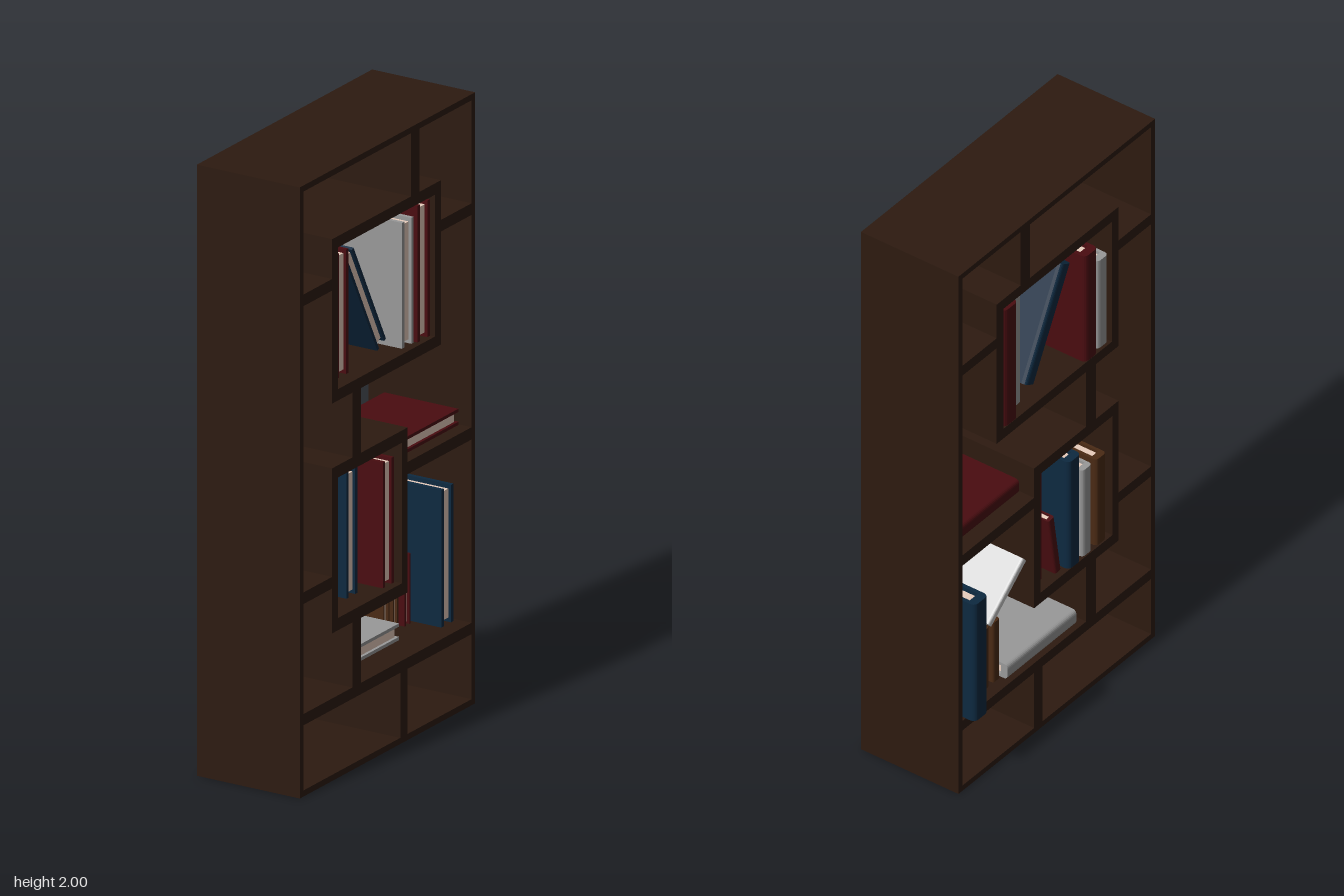
import * as THREE from 'three';

const material = (color) => new THREE.MeshStandardMaterial({ color, roughness: 0.8 });
const WOOD = material(0x2d1a10);
const PAGES = material(0xe8cdbd);
const COVERS = {
  blue: material(0x0d2940),
  red: material(0x4a0c10),
  brown: material(0x4a2a14),
  grey: material(0x999999),
  white: material(0xcccccc),
};

// Shelf depth along x
const BACK = -0.17, FRONT = 0.205;

// Wooden board running the full depth, given by its z and y limits
function board(name, z0, z1, y0, y1) {
  const mesh = new THREE.Mesh(new THREE.BoxGeometry(FRONT - BACK, y1 - y0, z1 - z0), WOOD);
  mesh.name = name;
  mesh.position.set((BACK + FRONT) / 2, (y0 + y1) / 2, (z0 + z1) / 2);
  return mesh;
}

// Rectangular wooden frame, open on both x sides
function frame(name, z0, z1, y0, y1, side, flat) {
  const group = new THREE.Group();
  group.name = name;
  group.add(
    board(name + 'Bottom', z0, z1, y0, y0 + flat),
    board(name + 'Top', z0, z1, y1 - flat, y1),
    board(name + 'SideBack', z0, z0 + side, y0 + flat, y1 - flat),
    board(name + 'SideFront', z1 - side, z1, y0 + flat, y1 - flat),
  );
  return group;
}

// Book: U-shaped cover with a rounded spine at -x, and a recessed page block
function book(color, z, y, thick, height, x0, x1, tilt = 0) {
  const group = new THREE.Group();
  group.name = color + 'Book';
  const w = (x1 - x0) / 2, t = thick / 2;
  const cover = Math.min(0.015, thick * 0.2);
  const spine = Math.min(0.03, thick * 0.45);
  const r = Math.min(0.02, t * 0.6);

  const s = new THREE.Shape();
  s.moveTo(w, -t);
  s.lineTo(w, -t + cover);
  s.lineTo(-w + spine, -t + cover);
  s.lineTo(-w + spine, t - cover);
  s.lineTo(w, t - cover);
  s.lineTo(w, t);
  s.lineTo(-w + r, t);
  s.quadraticCurveTo(-w, t, -w, t - r);
  s.lineTo(-w, -t + r);
  s.quadraticCurveTo(-w, -t, -w + r, -t);
  const coverGeometry = new THREE.ExtrudeGeometry(s, { depth: height, bevelEnabled: false, curveSegments: 5 });
  coverGeometry.translate(0, 0, -height / 2).rotateX(-Math.PI / 2);
  const coverMesh = new THREE.Mesh(coverGeometry, COVERS[color]);
  coverMesh.name = 'cover';

  const length = 2 * w - spine - 0.01;
  const pages = new THREE.Mesh(
    new THREE.BoxGeometry(length, height - 2 * cover, thick - 2 * cover), PAGES);
  pages.name = 'pages';
  pages.position.x = -w + spine + length / 2;

  group.add(coverMesh, pages);
  group.position.set((x0 + x1) / 2, y, z);
  group.rotation.x = tilt;
  return group;
}

// Upright book between two z limits, standing on a given height
const upright = (color, z0, z1, y0, y1, x0, x1) =>
  book(color, (z0 + z1) / 2, (y0 + y1) / 2, z1 - z0, y1 - y0, x0, x1);

// Book lying flat
const lying = (color, z0, z1, y0, y1, x0, x1) =>
  book(color, (z0 + z1) / 2, (y0 + y1) / 2, y1 - y0, z1 - z0, x0, x1, Math.PI / 2);

export function createModel() {
  const model = new THREE.Group();
  model.name = 'bookshelf';

  // Outer case and the two inner boxes
  model.add(
    frame('outerCase', -0.5, 0.5, 0, 2, 0.02, 0.02),
    frame('upperBox', -0.305, 0.315, 1.235, 1.773, 0.034, 0.037),
    frame('lowerBox', -0.115, 0.315, 0.483, 1.023, 0.032, 0.04),
  );

  // Shelves and uprights joining the boxes to the case
  model.add(
    board('topUpright', -0.183, -0.135, 1.773, 1.98),
    board('upperFrontShelf', 0.315, 0.48, 1.605, 1.643),
    board('upperBackShelf', -0.48, -0.305, 1.605, 1.643),
    board('middleUpright', 0.15, 0.2, 1.023, 1.235),
    board('middleBackShelf', -0.48, -0.115, 0.87, 0.91),
    board('lowerFrontShelf', 0.315, 0.48, 0.63, 0.668),
    board('lowerUpright', 0.15, 0.2, 0.27, 0.483),
    board('longShelf', -0.48, 0.48, 0.233, 0.27),
    board('bottomUpright', -0.115, -0.073, 0.02, 0.233),
  );

  // Books in the upper box
  model.add(
    upright('grey', 0.222, 0.277, 1.273, 1.61, -0.16, 0.1),
    upright('red', 0.145, 0.21, 1.273, 1.68, -0.17, 0.155),
    book('blue', 0.024, 1.473, 0.055, 0.4, -0.12, 0.14, 0.48),
    upright('grey', -0.188, -0.122, 1.273, 1.685, -0.13, 0.18),
    upright('red', -0.265, -0.195, 1.273, 1.72, -0.17, 0.19),
  );

  // Books in the lower box
  model.add(
    upright('brown', 0.208, 0.26, 0.523, 0.855, -0.165, 0.09),
    upright('grey', 0.138, 0.188, 0.523, 0.855, -0.165, 0.09),
    upright('blue', 0.062, 0.125, 0.523, 0.935, -0.17, 0.135),
    book('red', 0.018, 0.636, 0.03, 0.225, -0.15, 0.02, -0.155),
    upright('red', -0.075, -0.013, 0.523, 0.935, -0.13, 0.18),
  );

  // Books on the open shelves
  model.add(
    lying('red', -0.475, -0.125, 0.91, 0.963, -0.12, 0.16),
    lying('grey', -0.23, 0.12, 0.27, 0.325, -0.155, 0.1),
    upright('brown', -0.27, -0.235, 0.27, 0.5, -0.13, 0.04),
    upright('brown', -0.32, -0.29, 0.27, 0.5, -0.13, 0.04),
    upright('red', -0.375, -0.34, 0.27, 0.5, -0.13, 0.05),
    upright('blue', -0.463, -0.393, 0.27, 0.72, -0.205, 0.15),
    book('white', -0.21, 0.587, 0.028, 0.23, -0.14, 0.045, 0.88),
  );

  return model;
}
